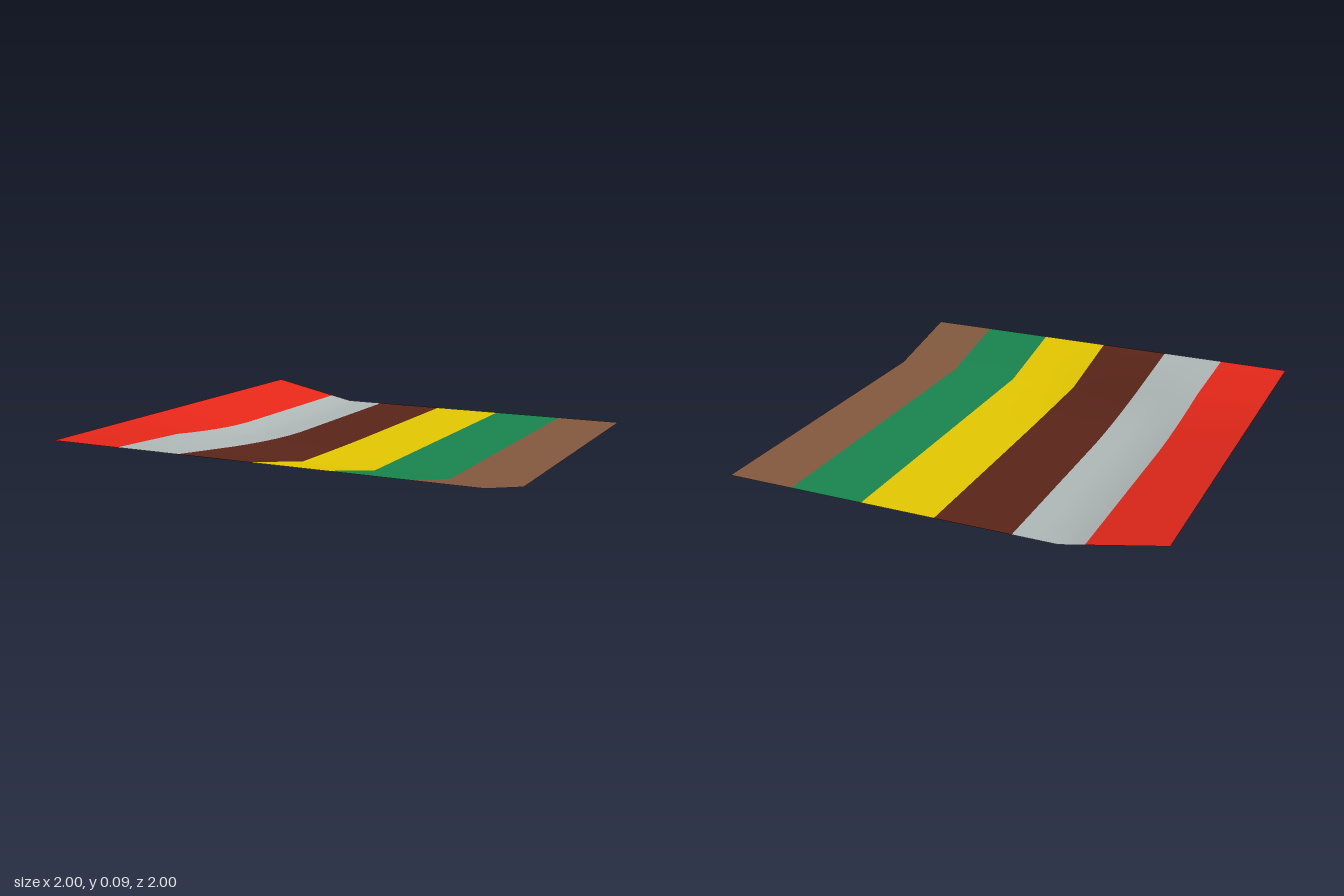
import * as THREE from 'three';

const RIM = 0.093;   // height of the raised edges
const FOLD = 0.55;   // where the flat floor meets the raised edges
const clamp = (v) => Math.min(1, Math.max(0, v));

// Height of the sheet: flat floor, slopes up at -x and +z, filled corner between them
function height(x, z) {
  const slope = (d) => clamp((d - FOLD) / (1 - FOLD));
  const fill = (d, reach, power) => Math.pow(clamp((d + reach) / (FOLD + reach)), power);
  const corner = 0.7 * fill(-x, 0.1, 1.2) * fill(z, 0.05, 1.5);
  return RIM * (1 - (1 - slope(-x)) * (1 - slope(z)) * (1 - corner));
}

// Evenly divided stops between the given knots
function divide(knots, step) {
  const out = [knots[0]];
  for (let i = 1; i < knots.length; i++) {
    const a = knots[i - 1], b = knots[i], n = Math.ceil((b - a) / step);
    for (let k = 1; k <= n; k++) out.push(a + ((b - a) * k) / n);
  }
  return out;
}

export function createModel() {
  const group = new THREE.Group();
  group.name = 'stripedSheet';

  // Stripe colours from -x to +x, with the right-hand limit of each
  const stripes = [
    ['red', 0xe9281a, -0.66],
    ['grey', 0xb0bab8, -0.35],
    ['darkBrown', 0x5b2519, -0.003],
    ['yellow', 0xe6c900, 0.34],
    ['green', 0x19864f, 0.685],
    ['tan', 0x855a40, 1],
  ];
  const materials = stripes.map(([name, color]) => {
    const m = new THREE.MeshStandardMaterial({ color, side: THREE.DoubleSide });
    m.name = name;
    return m;
  });

  const limits = stripes.map((s) => s[2]);
  const xs = divide([-1, -0.66, -FOLD, ...limits.slice(1)], 0.12);
  const zs = divide([-1, -0.05, FOLD, 1], 0.15);

  // One smooth grid, with a material group for each column
  const positions = [], indices = [];
  for (const x of xs) for (const z of zs) positions.push(x, height(x, z), z);
  const geometry = new THREE.BufferGeometry();
  const rows = zs.length;
  for (let i = 0; i < xs.length - 1; i++) {
    const start = indices.length;
    for (let j = 0; j < rows - 1; j++) {
      const a = i * rows + j, b = a + 1, c = a + rows, d = c + 1;
      indices.push(a, b, d, a, d, c);
    }
    const middle = (xs[i] + xs[i + 1]) / 2;
    geometry.addGroup(start, indices.length - start, limits.findIndex((l) => middle < l));
  }
  geometry.setAttribute('position', new THREE.Float32BufferAttribute(positions, 3));
  geometry.setIndex(indices);
  geometry.computeVertexNormals();

  const sheet = new THREE.Mesh(geometry, materials);
  sheet.name = 'sheet';
  group.add(sheet);
  return group;
}
